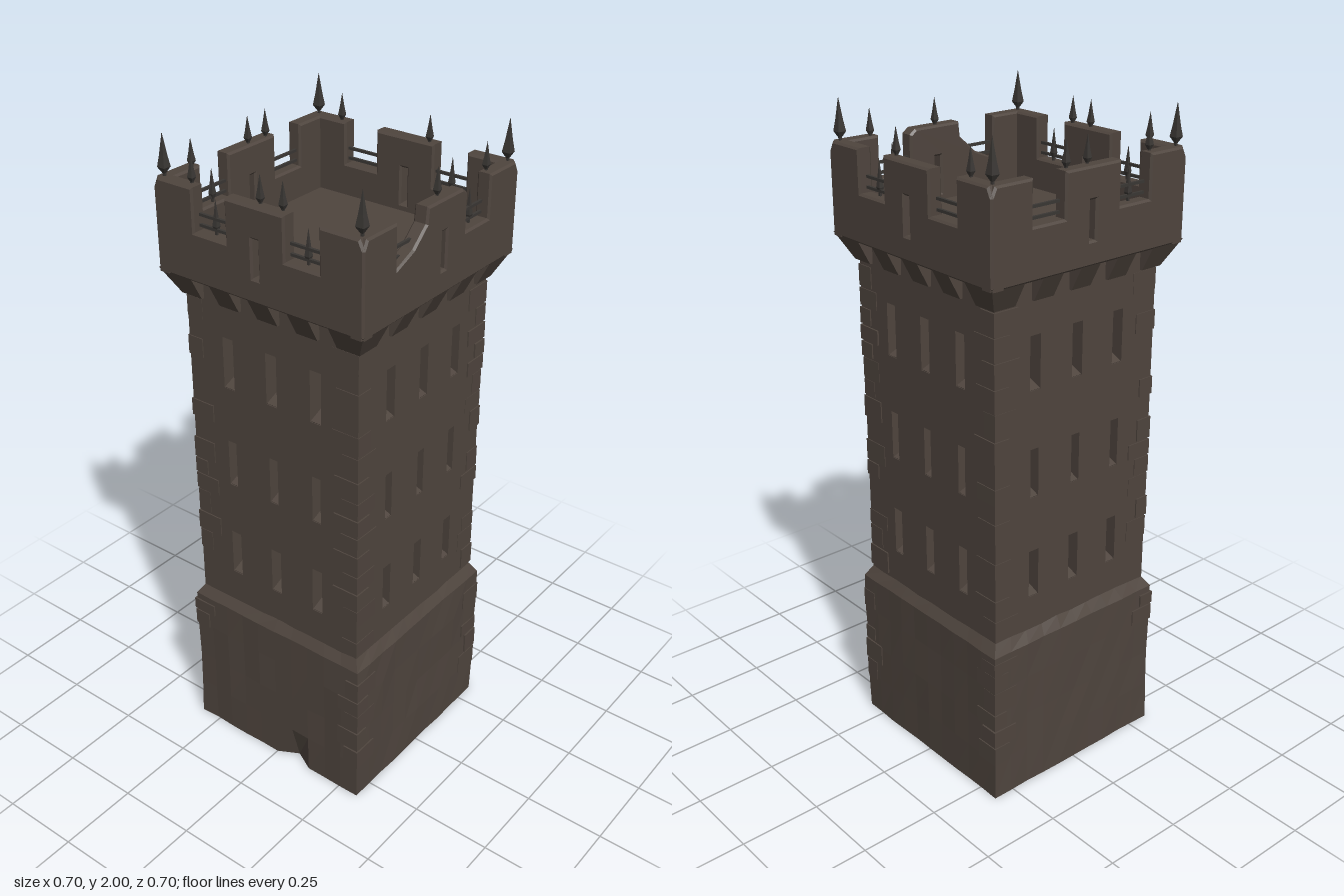
import * as THREE from 'three';

const stone = new THREE.MeshStandardMaterial({ color: 0x4f453e });
stone.name = 'stone';
const iron = new THREE.MeshStandardMaterial({ color: 0x3a3734 });
iron.name = 'iron';
const glow = new THREE.MeshStandardMaterial({ color: 0xd9782c });
glow.name = 'window glow';

let seed = 7;
const rand = () => (seed = (seed * 16807) % 2147483647) / 2147483647;

function add(parent, name, geo, mat, x = 0, y = 0, z = 0) {
  const m = new THREE.Mesh(geo, mat);
  m.name = name;
  m.position.set(x, y, z);
  parent.add(m);
  return m;
}

function faceted(geo) {
  const g = geo.index ? geo.toNonIndexed() : geo;
  g.computeVertexNormals();
  return g;
}

function rectHole(x, y0, y1, w) {
  return new THREE.Path([[x - w / 2, y0], [x - w / 2, y1], [x + w / 2, y1], [x + w / 2, y0]]
    .map(p => new THREE.Vector2(...p)));
}

// Square rings stacked upward, worn by small inward jitter
function wornBlock(rings, n, wear, notch) {
  const pos = [], idx = [], count = 4 * n;
  for (const [y, r] of rings) {
    for (let s = 0; s < 4; s++) {
      for (let i = 0; i < n; i++) {
        const x = -r + (2 * r * i) / n;
        const d = r - wear * rand() - notch(s, x, y);
        const p = new THREE.Vector3(i === 0 ? -d : x, y, d);
        p.applyAxisAngle(new THREE.Vector3(0, 1, 0), (s * Math.PI) / 2);
        pos.push(p.x, p.y, p.z);
      }
    }
  }
  for (let j = 0; j < rings.length - 1; j++) {
    for (let i = 0; i < count; i++) {
      const a = j * count + i, b = j * count + (i + 1) % count;
      idx.push(a, b, b + count, a, b + count, a + count);
    }
  }
  const c = pos.length / 3;
  pos.push(0, rings[0][0], 0);
  for (let i = 0; i < count; i++) idx.push(c, (i + 1) % count, i);
  const g = new THREE.BufferGeometry();
  g.setAttribute('position', new THREE.Float32BufferAttribute(pos, 3));
  g.setIndex(idx);
  return faceted(g);
}

// Corbel: a block whose outer faces slope in toward the bottom
function corbel(x0, x1) {
  const g = new THREE.BoxGeometry(x1 - x0, 0.08, 0.115);
  g.translate((x0 + x1) / 2, 1.58, 0.2925);
  const p = g.attributes.position;
  for (let i = 0; i < p.count; i++) {
    if (p.getY(i) < 1.58) p.setXYZ(i, THREE.MathUtils.clamp(p.getX(i), -0.308, 0.308), 1.54, Math.min(p.getZ(i), 0.308));
  }
  return faceted(g);
}

// Iron finial: short stem and four-sided spearhead
function spike(h, w) {
  const pts = [[0.004, -0.03], [0.005, 0.1 * h], [w, 0.24 * h], [0.6 * w, 0.5 * h], [0, h]];
  return faceted(new THREE.LatheGeometry(pts.map(p => new THREE.Vector2(...p)), 4, Math.PI / 4));
}

const rows = [[0.635, 0.785, 0.036], [0.955, 1.105, 0.03], [1.28, 1.44, 0.038]];
const columns = [-0.155, 0, 0.155];

// One shaft wall; the four walls interlock like a pinwheel
function shaftWall(side) {
  const r = 0.299, t = 0.06;
  const s = new THREE.Shape([[-r, 0.5], [r - t, 0.5], [r - t, 1.62], [-r, 1.62]].map(p => new THREE.Vector2(...p)));
  for (const [y0, y1, w] of rows) for (const x of columns) s.holes.push(rectHole(x, y0, y1, w));
  add(side, 'shaftWall', new THREE.ExtrudeGeometry(s, { depth: t, bevelEnabled: false }), stone, 0, 0, r - t);
  for (const [y0, y1, w] of rows) {
    for (const x of columns) {
      add(side, 'windowGlow', new THREE.BoxGeometry(w + 0.01, y1 - y0 + 0.01, 0.006), glow, x, (y0 + y1) / 2, r - t + 0.006);
      // sloping sill
      add(side, 'windowSill', new THREE.BoxGeometry(w, 0.012, 0.062), stone, x, y0 + 0.008, r - t / 2 - 0.003).rotation.x = 0.4;
    }
  }
}

const base = 1.755, top = 1.88;
// Outline of the parapet top, left to right
const wholeTop = [[0.35, top - 0.03], [0.335, top], [0.21, top], [0.21, base], [0.1, base], [0.1, top],
  [-0.1, top], [-0.1, base], [-0.21, base], [-0.21, top], [-0.335, top], [-0.35, top - 0.03]];
const brokenTop = [...wholeTop.slice(0, 5), [0.1, top - 0.015], [0.08, top], [-0.08, top], [-0.085, 1.835],
  [-0.14, 1.785], [-0.21, base], ...wholeTop.slice(9)];

function parapet(side, outline) {
  const s = new THREE.Shape([[-0.35, 1.61], [0.35, 1.61], ...outline].map(p => new THREE.Vector2(...p)));
  s.holes.push(rectHole(0, 1.68, 1.79, 0.02));
  const b = 0.006;
  const g = new THREE.ExtrudeGeometry(s, { depth: 0.045 - 2 * b, bevelThickness: b, bevelSize: b, bevelOffset: -b, bevelSegments: 1 });
  add(side, 'parapetWall', g, stone, 0, 0, 0.305 + b);
  for (const x of [-0.135, 0, 0.135]) add(side, 'corbel', corbel(x - 0.035, x + 0.035), stone);
  add(side, 'cornerCorbel', corbel(0.235, 0.35), stone);
}

// Long and short corner stones, standing slightly proud of the wall
function cornerStones(side, r, y0, y1) {
  let long = rand() > 0.5;
  for (let y = y0; y < y1 - 0.03;) {
    const h = 0.05 + 0.03 * rand(), proud = 0.001 + 0.004 * rand();
    const a = (long ? 0.075 : 0.045) + 0.015 * rand(), b = (long ? 0.045 : 0.075) + 0.015 * rand();
    if (rand() > 0.25) {
      const hh = Math.min(h, y1 - y) - 0.006;
      const m = add(side, 'cornerStone', new THREE.BoxGeometry(a, hh, b), stone, r + proud - a / 2, y + hh / 2, r + proud - b / 2);
      m.rotation.y = 0.02 * (rand() - 0.5);
    }
    y += h;
    long = !long;
  }
}

export function createModel() {
  const tower = new THREE.Group();
  tower.name = 'tower';

  // Plinth with a chipped foot and a sloping shoulder
  const chip = (s, x, y) => (s === 0 && y < 0.05 && Math.abs(x - 0.06) < 0.03 ? 0.035 : 0);
  const rings = [[0, 0.322], [0.13, 0.322], [0.25, 0.321], [0.38, 0.322], [0.495, 0.322], [0.53, 0.3]];
  add(tower, 'plinth', wornBlock(rings, 10, 0.004, chip), stone);

  // Roof deck inside the parapet
  add(tower, 'roofDeck', new THREE.BoxGeometry(0.612, 0.06, 0.612), stone, 0, 1.63, 0);

  // Finial positions per side: front, right of frame, back, left of frame
  const finials = [[-0.235, -0.155, 0, 0.075, 0.155], [0.155, 0.23, 0], [0.235, -0.075, -0.155], [-0.075, 0, 0.155, 0.23]];
  finials.forEach((list, k) => {
    const side = new THREE.Group();
    side.name = ['frontSide', 'leftSide', 'backSide', 'rightSide'][k];
    side.rotation.y = (k * Math.PI) / 2;
    tower.add(side);

    shaftWall(side);
    parapet(side, k === 1 ? brokenTop : wholeTop);
    cornerStones(side, 0.299, 0.54, 1.54);
    cornerStones(side, 0.32, 0.12, 0.48);

    // Iron rails across the gaps
    for (const x of [-0.155, 0.155]) {
      for (const y of [1.77, 1.8]) add(side, 'rail', new THREE.BoxGeometry(0.12, 0.008, 0.008), iron, x, y, 0.322);
    }
    for (const x of list) {
      const low = Math.abs(x) === 0.155;
      add(side, 'finial', spike(low ? 0.1 : 0.085, low ? 0.011 : 0.012), iron, x, low ? base : top - 0.005, 0.32);
    }
    add(side, 'cornerFinial', spike(0.125, 0.018), iron, 0.327, 1.875, 0.327);
  });
  return tower;
}
